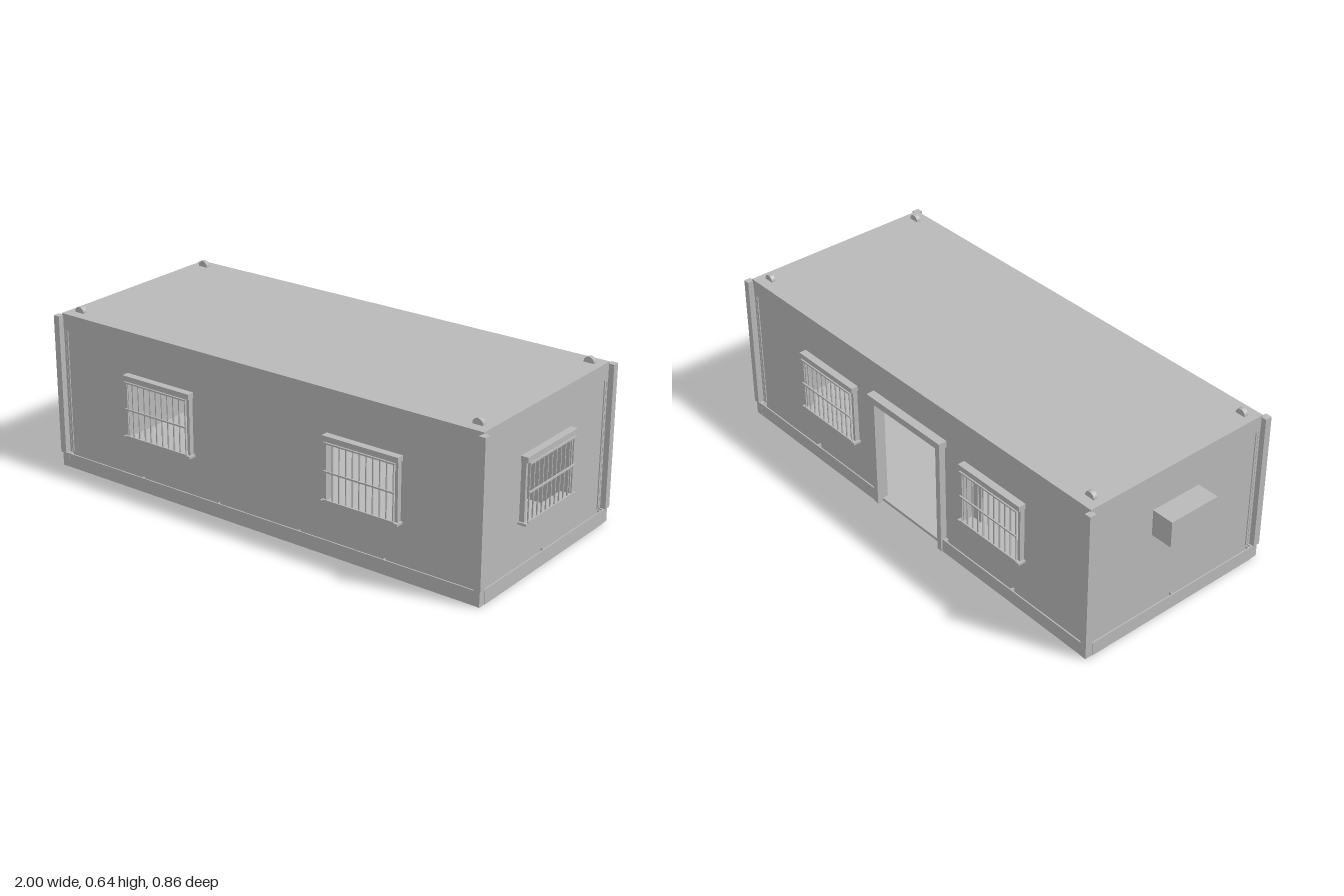
import * as THREE from 'three';

const CX = 0.025;         // centre of the cabin body along x
const HX = 0.94, HZ = 0.4; // half length and half depth of the body
const grey = new THREE.MeshStandardMaterial({ color: 0xb8b8b8 });
grey.name = 'painted grey';

// Box given by its lower and upper bounds
function box(parent, name, x0, x1, y0, y1, z0, z1) {
  const m = new THREE.Mesh(new THREE.BoxGeometry(x1 - x0, y1 - y0, z1 - z0), grey);
  m.position.set((x0 + x1) / 2, (y0 + y1) / 2, (z0 + z1) / 2);
  m.name = name;
  parent.add(m);
  return m;
}

// Rectangle as a closed path, for wall outlines and openings
function rect(path, x0, x1, y0, y1) {
  path.moveTo(x0, y0);
  path.lineTo(x1, y0);
  path.lineTo(x1, y1);
  path.lineTo(x0, y1);
  path.closePath();
  return path;
}

// Barred window; local z = 0 is the outer face of the body
function barredWindow(side, cx) {
  const g = new THREE.Group();
  g.name = 'barredWindow';
  g.position.x = cx;
  side.add(g);
  box(g, 'windowHeader', -0.16, 0.16, 0.432, 0.453, -0.01, 0.025);
  box(g, 'windowSill', -0.163, 0.163, 0.201, 0.21, -0.01, 0.028);
  for (const s of [-1, 1]) {
    box(g, 'windowJamb', s * 0.149 - 0.006, s * 0.149 + 0.006, 0.21, 0.432, -0.01, 0.015);
  }
  for (let i = -5; i <= 5; i++) {
    const x = i * 0.0284;
    box(g, 'verticalBar', x - 0.002, x + 0.002, 0.2, 0.435, 0.02, 0.025);
  }
  for (const y of [0.213, 0.322, 0.428]) {
    box(g, 'horizontalBar', -0.15, 0.15, y - 0.003, y + 0.003, 0.024, 0.03);
  }
}

// One side of the cabin, built facing +z and then turned into place
function makeSide(name, angle, half, dist, windows, door) {
  const side = new THREE.Group();
  side.name = name;
  side.rotation.y = angle;
  side.position.set(CX + Math.sin(angle) * dist, 0, Math.cos(angle) * dist);

  // recessed wall panel with its openings
  const w = half - 0.004;
  const shape = new THREE.Shape();
  if (door) {
    const pts = [[-w, 0.006], [-0.18, 0.006], [-0.18, 0.46], [0.18, 0.46], [0.18, 0.006],
      [w, 0.006], [w, 0.6], [-w, 0.6]];
    shape.setFromPoints(pts.map(p => new THREE.Vector2(p[0], p[1])));
  } else rect(shape, -w, w, 0.006, 0.6);
  for (const x of windows) {
    shape.holes.push(rect(new THREE.Path(), x - 0.145, x + 0.145, 0.208, 0.434));
  }
  const wall = new THREE.Mesh(
    new THREE.ExtrudeGeometry(shape, { depth: 0.02, bevelEnabled: false }), grey);
  wall.position.z = -0.024;
  wall.name = 'wallPanel';
  side.add(wall);

  // frame around the panel
  box(side, 'topRail', -half, half, 0.556, 0.61, -0.02, 0.002);
  for (const s of [-1, 1]) {
    box(side, 'edgeRail', s * (half - 0.006) - 0.006, s * (half - 0.006) + 0.006,
      0.056, 0.556, -0.02, 0.001);
  }

  // skirting held off the wall by small brackets
  const e = half - 0.01;
  const runs = door ? [[-e, -0.2], [0.2, e]] : [[-e, e]];
  for (const [a, b] of runs) {
    box(side, 'skirting', a, b, 0, 0.056, 0.014, 0.019);
    const n = Math.max(2, Math.round((b - a) / 0.4));
    for (let i = 0; i <= n; i++) {
      const x = a + 0.003 + (b - a - 0.006) * i / n;
      box(side, 'skirtingBracket', x - 0.003, x + 0.003, 0.004, 0.05, -0.006, 0.015);
    }
  }

  windows.forEach(x => barredWindow(side, x));
  return side;
}

export function createModel() {
  const model = new THREE.Group();
  model.name = 'portableCabin';

  // floor and roof slabs
  box(model, 'floor', CX - HX, CX + HX, 0.004, 0.016, -HZ, HZ);
  box(model, 'roof', CX - HX - 0.002, CX + HX + 0.002, 0.6, 0.62, -HZ - 0.003, HZ + 0.003);

  // four sides
  const q = Math.PI / 2;
  const front = makeSide('frontSide', 0, HX, HZ, [-0.461, 0.463], false);
  const back = makeSide('backSide', Math.PI, HX, HZ, [-0.463, 0.461], true);
  const leftEnd = makeSide('leftEnd', q, HZ, HX, [0], false);
  const rightEnd = makeSide('rightEnd', -q, HZ, HX, [], false);
  model.add(front, back, leftEnd, rightEnd);

  // door casing in the back side
  box(back, 'doorHeader', -0.205, 0.205, 0.458, 0.485, -0.024, 0.03);
  for (const s of [-1, 1]) {
    box(back, 'doorJamb', s * 0.185 - 0.011, s * 0.185 + 0.011, 0, 0.458, -0.024, 0.022);
    // narrow fixed panel beside each back window
    box(back, 'windowSidePanel', s * 0.341 - 0.024, s * 0.341 + 0.024, 0.208, 0.412, -0.03, -0.025);
  }

  // corner posts, their feet and the lifting lugs
  for (const sx of [-1, 1]) {
    for (const sz of [-1, 1]) {
      const px = CX + sx * 0.9495, pz = sz * 0.411;
      box(model, 'cornerPost', px - 0.013, px + 0.013, 0.056, 0.613, pz - 0.014, pz + 0.014);
      const fx = CX + sx * 0.942, fz = sz * 0.405;
      box(model, 'cornerFoot', fx - 0.015, fx + 0.015, 0, 0.056, fz - 0.015, fz + 0.015);

      const lug = new THREE.Mesh(
        new THREE.CylinderGeometry(0.021, 0.021, 0.017, 16, 1, false, 0, Math.PI * 2), grey);
      lug.rotation.x = q;
      lug.position.set(CX + sx * 0.89, 0.622, sz * 0.353);
      lug.name = 'liftingLug';
      model.add(lug);
    }
  }

  // cooling unit on the right end
  box(model, 'coolingUnit', -1, -0.91, 0.36, 0.465, -0.108, 0.108);
  return model;
}
